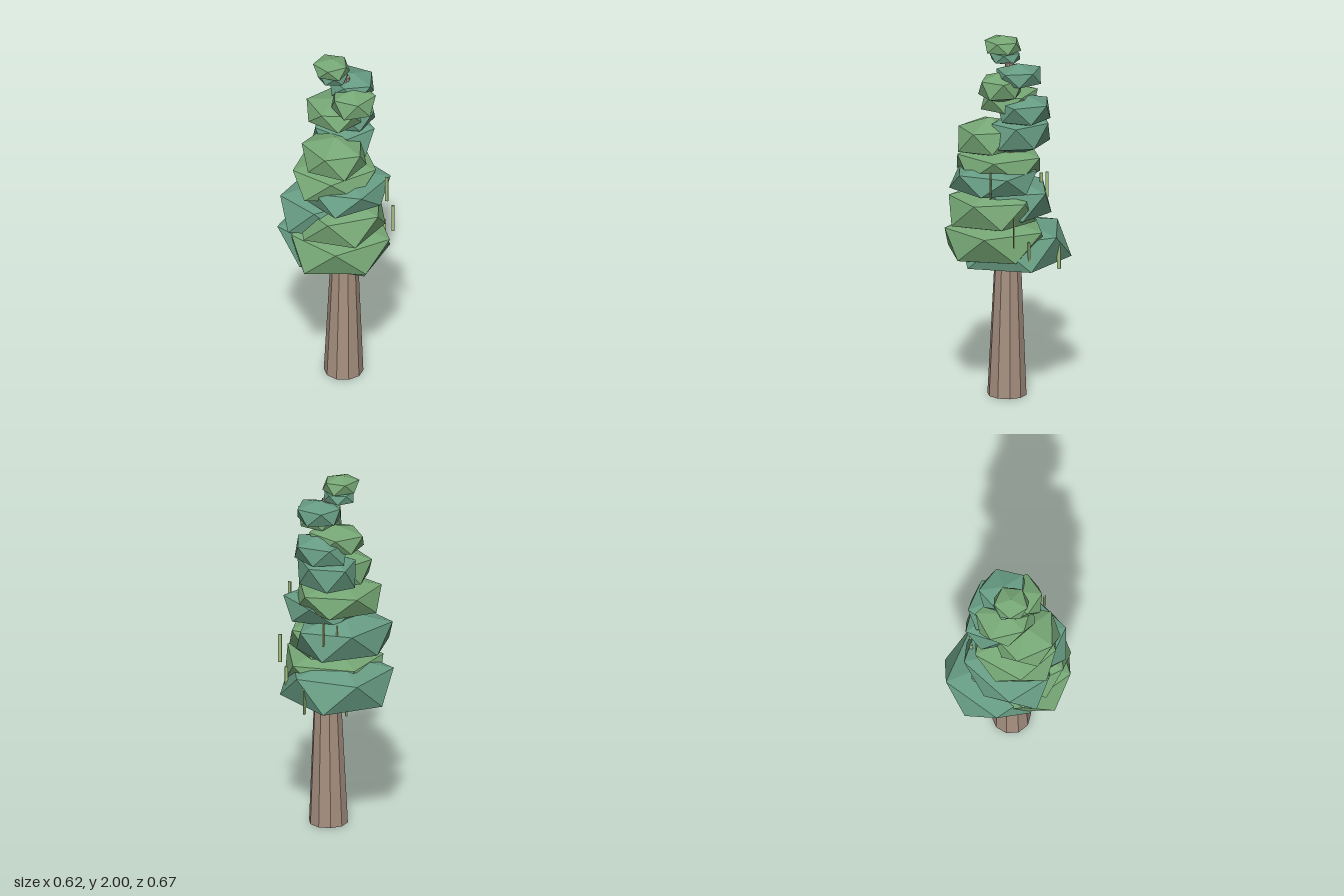
import * as THREE from 'three';
import { ConvexGeometry } from 'three/addons/geometries/ConvexGeometry.js';

const TEAL = 0x689d84, GREEN = 0x77a876, BARK = 0xa69080, VINE = 0xa0bd80;

const material = (color) => new THREE.MeshStandardMaterial({ color, flatShading: true });

// Squashed icosahedron: two poles and two staggered, slightly uneven rings of five.
// rx and rz are ring radii, ry is the half height, turn is in degrees.
function clump(x, y, z, rx, ry, rz, turn) {
  const points = [new THREE.Vector3(x, y + ry, z), new THREE.Vector3(x, y - ry, z)];
  for (let i = 0; i < 10; i++) {
    const a = THREE.MathUtils.degToRad(turn + i * 36);
    const side = i % 2 ? -1 : 1;
    const uneven = 1 + 0.05 * Math.sin(i * 2.3 + turn + y * 9);
    points.push(new THREE.Vector3(
      x + rx * uneven * Math.cos(a),
      y + side * ry * 0.52 * uneven,
      z - rz * uneven * Math.sin(a)
    ));
  }
  return new ConvexGeometry(points);
}

export function createModel() {
  const tree = new THREE.Group();
  tree.name = 'tree';
  const add = (parent, name, geometry, mat) => {
    const mesh = new THREE.Mesh(geometry, mat);
    mesh.name = name;
    parent.add(mesh);
    return mesh;
  };

  // Tapered trunk, leaning very slightly
  const trunkGeometry = new THREE.CylinderGeometry(0.022, 0.107, 1.87, 10, 1, false, Math.PI / 20);
  trunkGeometry.translate(0, 0.935, 0);
  const trunk = add(tree, 'trunk', trunkGeometry, material(BARK));
  trunk.position.set(0.041, 0, 0.039);
  trunk.rotation.z = -0.008;

  // Foliage tiers, bottom to top: x, y, z, rx, ry, rz, turn
  const teal = material(TEAL), green = material(GREEN);
  const foliage = new THREE.Group();
  foliage.name = 'foliage';
  tree.add(foliage);
  const clumps = [
    [teal, 0.035, 0.83, -0.03, 0.285, 0.15, 0.32, 4],
    [green, -0.015, 0.87, 0.07, 0.28, 0.14, 0.28, 7],
    [teal, -0.02, 1.08, -0.015, 0.285, 0.14, 0.225, 0],
    [green, -0.02, 1.05, 0.095, 0.25, 0.13, 0.235, -6],
    [teal, 0, 1.22, 0.11, 0.235, 0.1, 0.215, 35],
    [green, -0.02, 1.29, 0.03, 0.245, 0.11, 0.225, 10],
    [green, -0.055, 1.44, 0.075, 0.17, 0.11, 0.18, -9],
    [teal, 0.09, 1.47, -0.02, 0.155, 0.12, 0.185, 15],
    [teal, 0.12, 1.6, -0.01, 0.145, 0.09, 0.155, 0],
    [green, 0.02, 1.645, -0.01, 0.14, 0.08, 0.165, 50],
    [green, 0.05, 1.745, 0.105, 0.12, 0.085, 0.12, 25],
    [teal, 0.11, 1.8, 0.03, 0.12, 0.07, 0.13, 60],
    [teal, 0, 1.885, 0, 0.08, 0.045, 0.085, 15],
    [green, -0.015, 1.945, 0.005, 0.098, 0.055, 0.095, 0]
  ];
  clumps.forEach(([mat, ...dims], i) => add(foliage, `leafClump${i + 1}`, clump(...dims), mat));

  // Thin strands hanging around the crown: x, centre y, z, length
  const vine = material(VINE);
  const strands = [
    [0.122, 1.245, 0.297, 0.15],
    [0.23, 0.98, 0.228, 0.16],
    [0.255, 0.845, 0.128, 0.13],
    [0.288, 0.79, -0.1, 0.15],
    [0.185, 1.165, -0.13, 0.14],
    [0.12, 1.16, -0.165, 0.1],
    [0.05, 0.73, -0.15, 0.12]
  ];
  for (const [x, y, z, length] of strands) {
    const strand = add(tree, 'hangingStrand', new THREE.BoxGeometry(0.018, length, 0.008), vine);
    strand.position.set(x, y, z);
    strand.rotation.y = Math.atan2(-z, x);
  }
  return tree;
}
